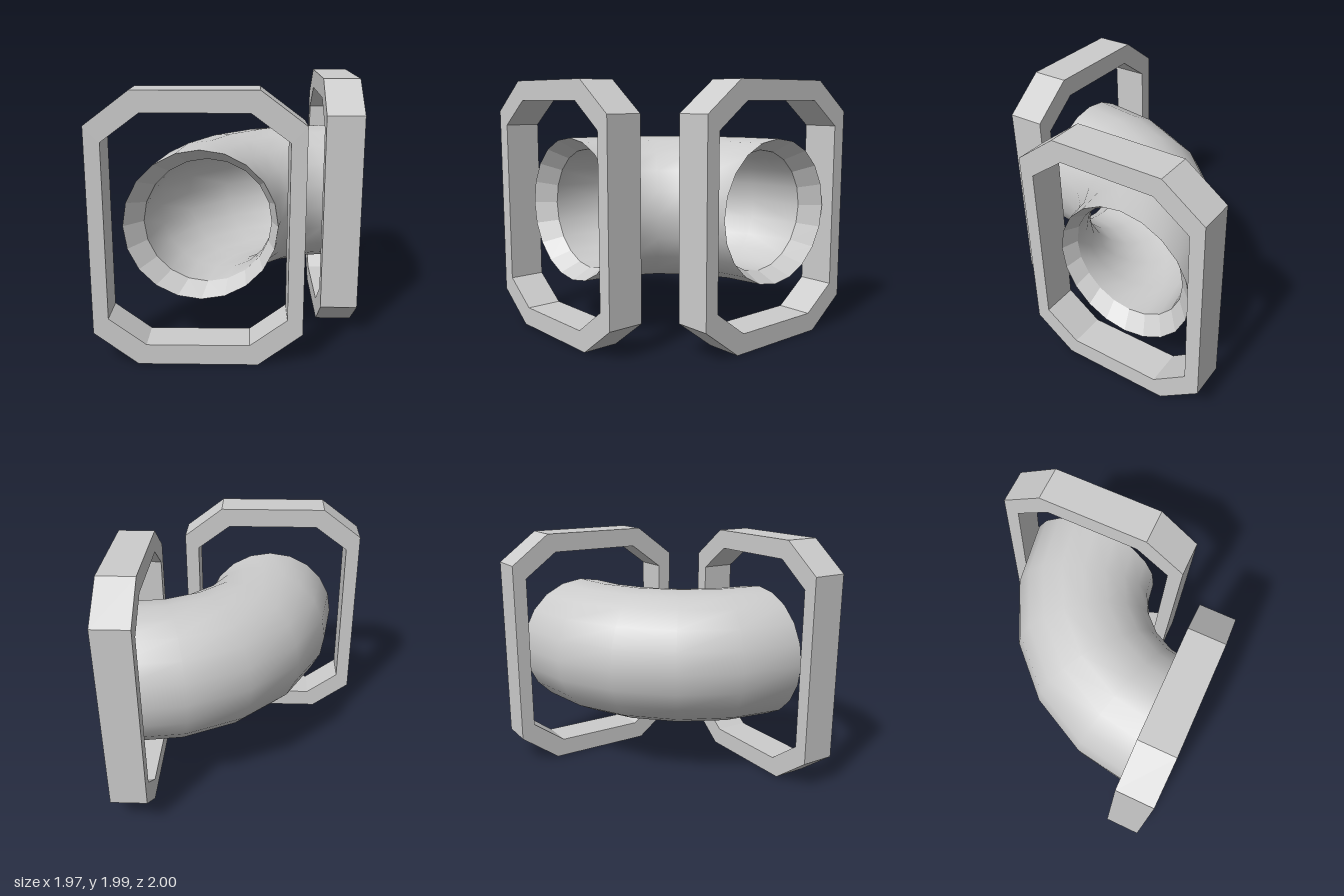
import * as THREE from 'three';

const MID_Y = 0.995;      // height of the pipe axis
const SIDES = 20;         // facets around the pipe
const BEND = 5;           // segments along the bend

const smooth = new THREE.MeshStandardMaterial({ color: 0xcccccc, side: THREE.DoubleSide });
const flat = new THREE.MeshStandardMaterial({ color: 0xcccccc, flatShading: true, side: THREE.DoubleSide });

function add(group, name, geometry, material) {
  const mesh = new THREE.Mesh(geometry, material);
  mesh.name = name;
  group.add(mesh);
  return mesh;
}

// Rectangle with cut corners, centred on the origin
function cutRectangle(Type, w, h, cutX, cutY) {
  const x = w / 2, y = h / 2, a = x - cutX, b = y - cutY;
  return new Type([
    [-a, -y], [a, -y], [x, -b], [x, b], [a, y], [-a, y], [-x, b], [-x, -b],
  ].map(([px, py]) => new THREE.Vector2(px, py)));
}

// Open octagonal frame, extruded along +z
function frameGeometry() {
  const shape = cutRectangle(THREE.Shape, 1.51, 1.99, 0.32, 0.24);
  shape.holes.push(cutRectangle(THREE.Path, 1.285, 1.685, 0.27, 0.2));
  return new THREE.ExtrudeGeometry(shape, { depth: 0.285, bevelEnabled: false });
}

// Quarter bend running from the -z side to the -x side of its centre
function bendGeometry(radius, tube, x, z) {
  return new THREE.TorusGeometry(radius, tube, SIDES, BEND, Math.PI / 2)
    .rotateX(-Math.PI / 2)
    .rotateY(Math.PI / 2)
    .translate(x, MID_Y, z);
}

// Funnel joining the outer and inner walls; the recessed ring is shifted sideways
function rimGeometry(shift) {
  const depth = 0.134;
  const geometry = new THREE.CylinderGeometry(0.56, 0.47, depth, SIDES, 1, true)
    .rotateX(Math.PI / 2)
    .translate(0, 0, -depth / 2);
  const p = geometry.attributes.position;
  for (let i = 0; i < p.count; i++) {
    if (p.getZ(i) < -depth / 2) p.setX(i, p.getX(i) + shift);
  }
  return geometry;
}

export function createModel() {
  const model = new THREE.Group();
  model.name = 'pipeElbow';

  // Pipe walls
  const pipe = new THREE.Group();
  pipe.name = 'pipe';
  add(pipe, 'outerWall', bendGeometry(1.12, 0.56, 0.905, 0.82), smooth);
  add(pipe, 'innerWall', bendGeometry(0.94, 0.47, 0.771, 0.686), smooth);

  // Bevelled rims at both openings
  add(pipe, 'frontRim', rimGeometry(0.046), flat).position.set(-0.215, MID_Y, 0.82);
  const sideRim = add(pipe, 'sideRim', rimGeometry(-0.046), flat);
  sideRim.position.set(0.905, MID_Y, -0.3);
  sideRim.rotation.y = Math.PI / 2;
  model.add(pipe);

  // Frames around both openings
  add(model, 'frontFrame', frameGeometry(), flat).position.set(-0.23, MID_Y, 0.715);
  const sideFrame = add(model, 'sideFrame', frameGeometry(), flat);
  sideFrame.position.set(0.7, MID_Y, -0.245);
  sideFrame.rotation.y = Math.PI / 2;

  return model;
}
